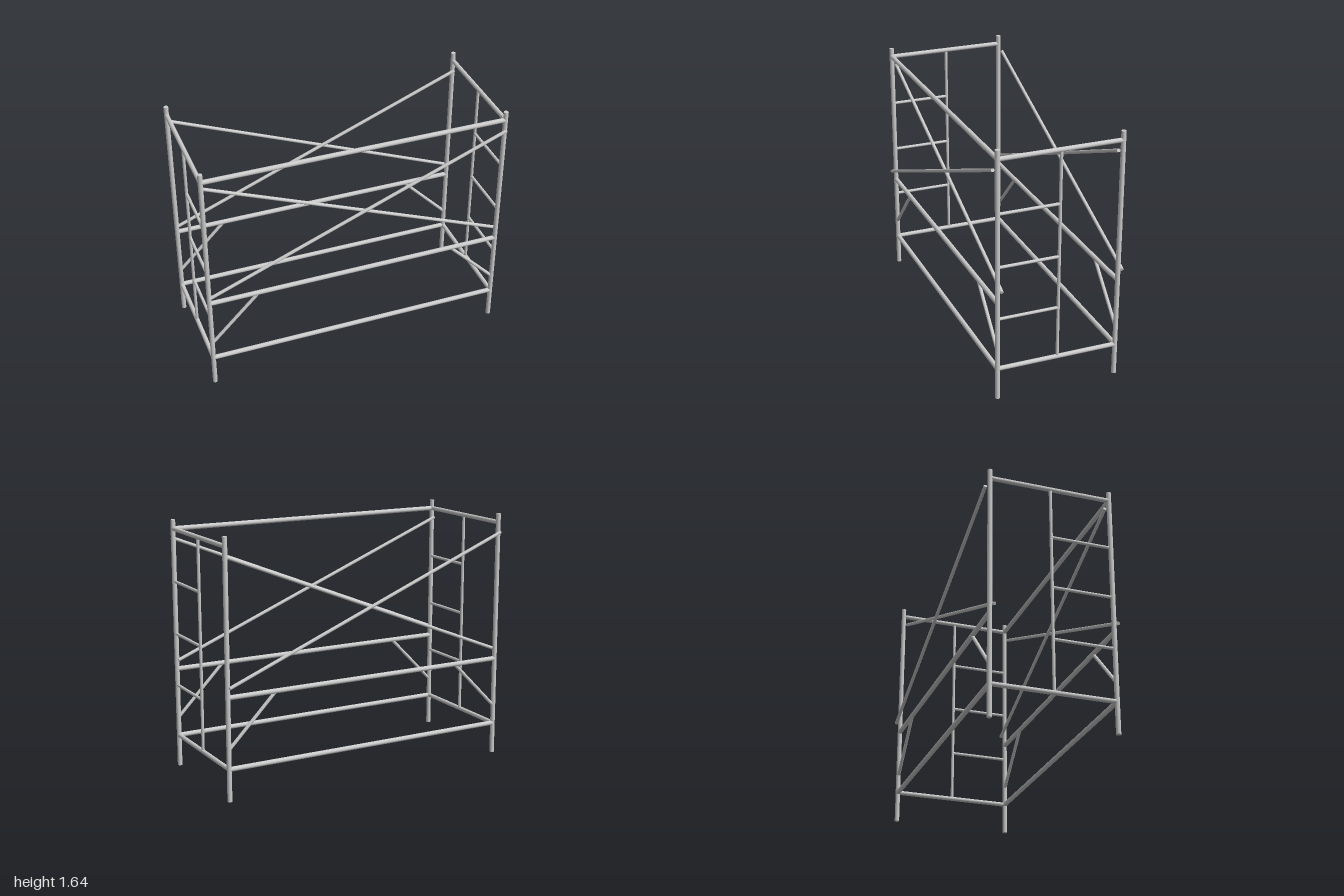
import * as THREE from 'three';

const X = 0.984, Z = 0.395, HEIGHT = 1.64;
const R = 0.0155, THIN = 0.011;
const LOW = 0.207, MID = 0.66, TOP = 1.582;

export function createModel() {
  const model = new THREE.Group();
  model.name = 'scaffoldTower';
  const material = new THREE.MeshStandardMaterial({ color: 0xcccccc });

  // Straight round pipe between two points
  function pipe(parent, name, a, b, radius) {
    const from = new THREE.Vector3(...a), to = new THREE.Vector3(...b);
    const dir = to.clone().sub(from);
    const mesh = new THREE.Mesh(new THREE.CylinderGeometry(radius, radius, dir.length(), 20), material);
    mesh.name = name;
    mesh.position.copy(from).add(to).multiplyScalar(0.5);
    mesh.quaternion.setFromUnitVectors(new THREE.Vector3(0, 1, 0), dir.normalize());
    parent.add(mesh);
  }

  // End frames: two posts, two cross bars and a half-width ladder
  for (const s of [-1, 1]) {
    const frame = new THREE.Group();
    frame.name = s > 0 ? 'leftEndFrame' : 'rightEndFrame';
    const x = s * X;
    for (const z of [Z, -Z]) pipe(frame, 'post', [x, 0, z], [x, HEIGHT, z], R);
    pipe(frame, 'bottomBar', [x, LOW, -Z], [x, LOW, Z], 0.0145);
    pipe(frame, 'topBar', [x, TOP, -Z], [x, TOP, Z], 0.0145);
    pipe(frame, 'ladderUpright', [x, LOW, 0], [x, TOP, 0], 0.01);
    for (const y of [0.55, 0.895, 1.24]) pipe(frame, 'ladderRung', [x, y, 0], [x, y, Z], 0.01);
    model.add(frame);
  }

  // Long sides: rails, knee braces and crossed diagonals
  for (const s of [1, -1]) {
    const side = new THREE.Group();
    side.name = s > 0 ? 'frontSide' : 'backSide';
    const z = s * Z;
    pipe(side, 'bottomRail', [-X, LOW, z], [X, LOW, z], R);
    pipe(side, 'middleRail', [-X, MID, z], [X, MID, z], R);
    for (const e of [-1, 1]) pipe(side, 'kneeBrace', [e * X, 0.33, z], [e * 0.66, MID, z], THIN);
    // One diagonal passes on each face of the posts
    pipe(side, 'risingBrace', [-X, 0.725, z + 0.029], [X, 1.52, z + 0.029], THIN);
    pipe(side, 'fallingBrace', [-X, 1.52, z - 0.029], [X, 0.725, z - 0.029], THIN);
    model.add(side);
  }

  // Guard rail on the front only
  pipe(model, 'topRail', [-X, TOP, Z], [X, TOP, Z], R);

  return model;
}
